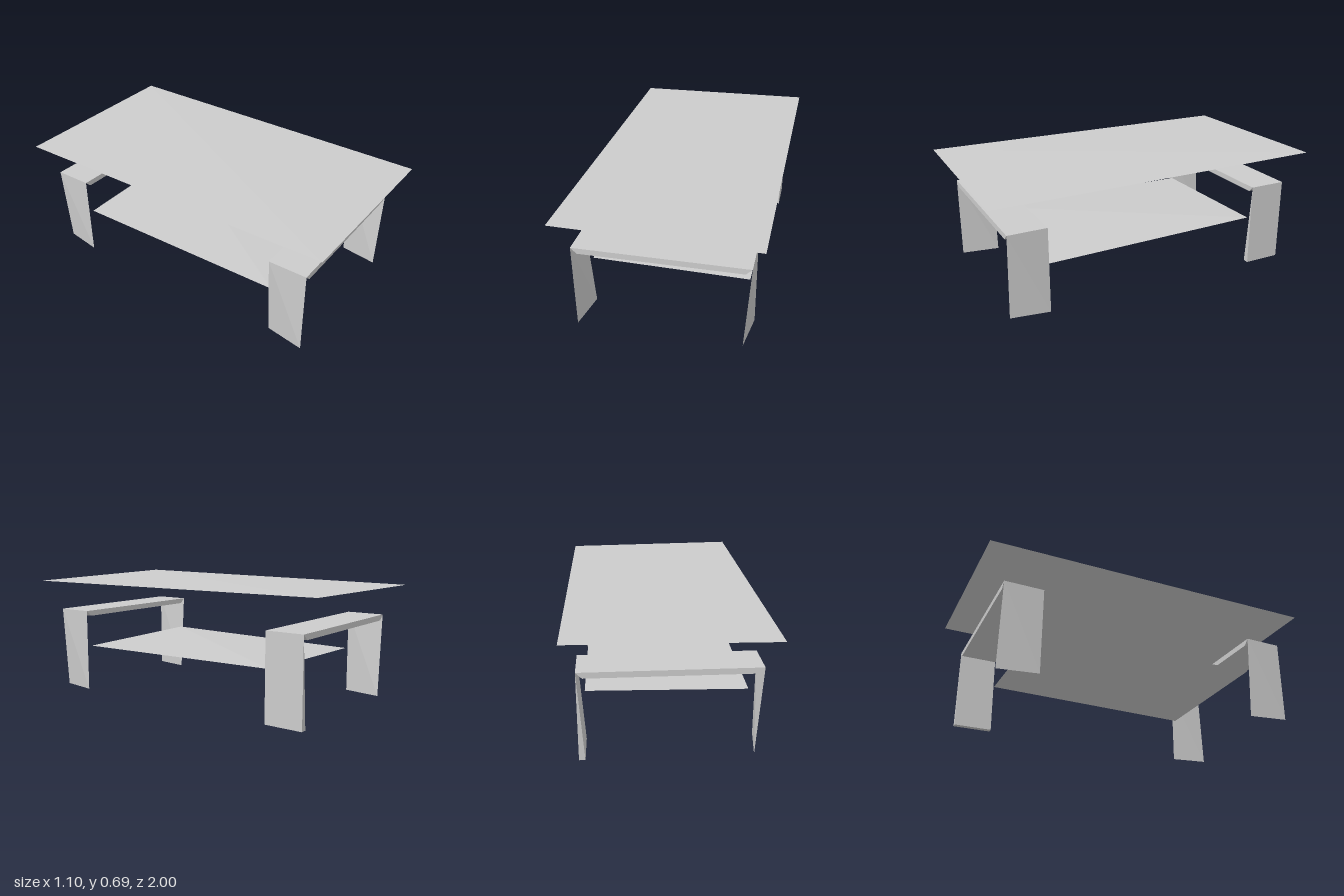
import * as THREE from 'three';
import { ConvexGeometry } from 'three/addons/geometries/ConvexGeometry.js';

export function createModel() {
  const model = new THREE.Group();
  model.name = 'coffeeTable';
  const grey = new THREE.MeshStandardMaterial({ color: 0xcccccc });
  grey.name = 'lightGrey';

  // flat-sided solid around a few corner points
  const solid = (name, points, parent) => {
    const geometry = new ConvexGeometry(points.map((p) => new THREE.Vector3(...p)));
    const mesh = new THREE.Mesh(geometry, grey);
    mesh.name = name;
    parent.add(mesh);
  };

  // thin slab with two opposite corners raised and two lowered
  const slab = (name, x, z, low, high) => solid(name, [
    [-x, high, z], [x, high, -z], [-x, low, -z], [x, low, z],
  ], model);
  slab('tableTop', 0.55, 1, 0.68, 0.694);
  slab('lowerShelf', 0.445, 0.667, 0.275, 0.292);

  const outer = 0.479, inner = 0.445, top = 0.5, under = 0.467;
  const near = 0.665, far = 0.89;

  for (const end of [1, -1]) {
    const frame = new THREE.Group();
    frame.name = end > 0 ? 'frontFrame' : 'backFrame';
    model.add(frame);
    const zs = [near * end, far * end];

    // crossbar with mitred ends
    solid('crossbar', zs.flatMap((z) => [
      [-outer, top, z], [outer, top, z], [inner, under, z], [-inner, under, z],
    ]), frame);

    // legs narrow to an edge at the top
    for (const side of [1, -1]) {
      const points = zs.map((z) => [outer * side, top, z]);
      if (end < 0 && side > 0) {
        // full wedge foot
        for (const z of zs) points.push([outer * side, 0, z], [inner * side, 0, z]);
      } else {
        // twisted foot: one corner stays outside, the other turns inwards
        const inwardFar = side === end;
        points.push([(inwardFar ? outer : inner) * side, 0, zs[0]]);
        points.push([(inwardFar ? inner : outer) * side, 0, zs[1]]);
      }
      solid(side > 0 ? 'leftLeg' : 'rightLeg', points, frame);
    }
  }
  return model;
}
